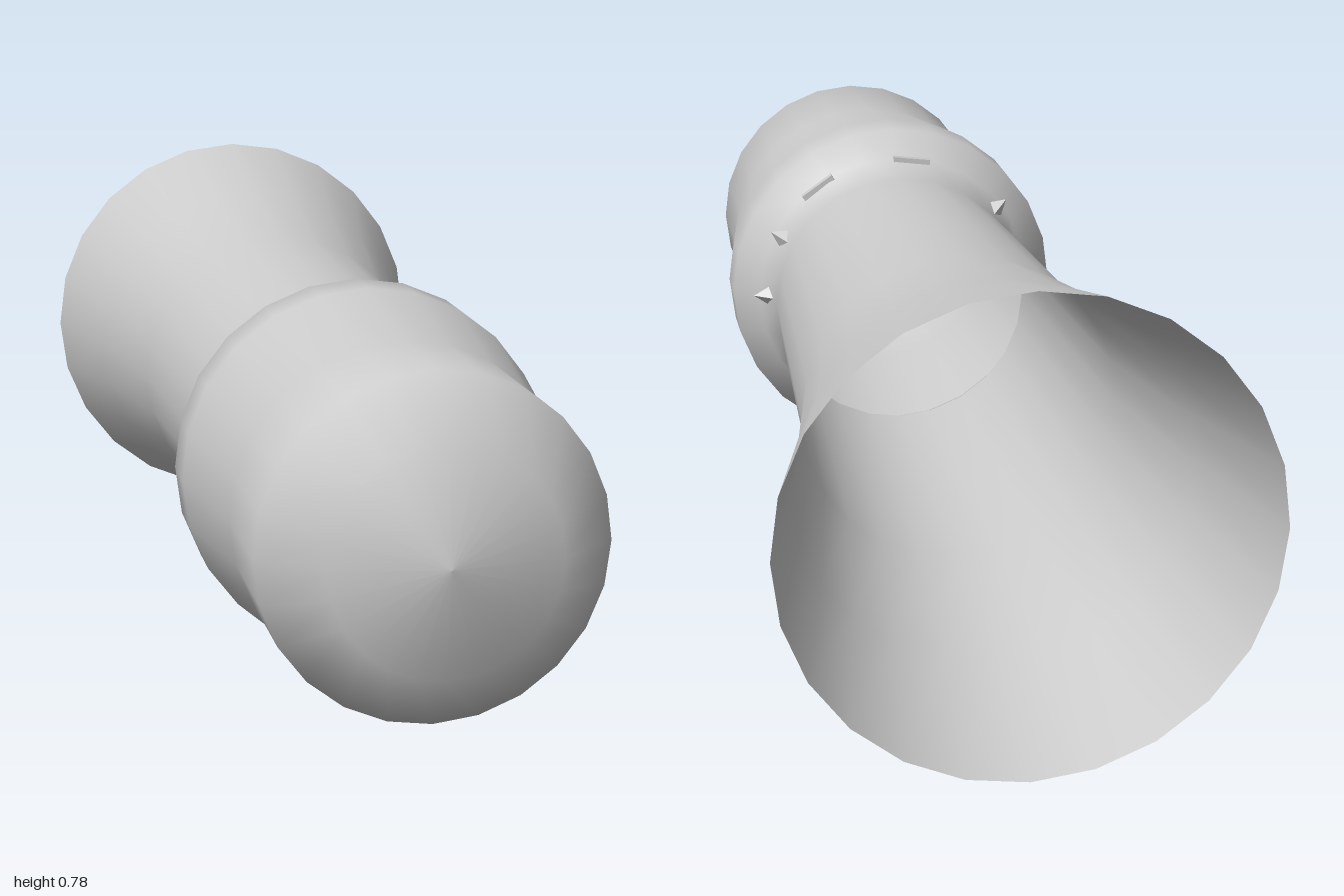
import * as THREE from 'three';

export function createModel() {
  const group = new THREE.Group();
  const material = new THREE.MeshStandardMaterial({ color: 0xcccccc, side: THREE.DoubleSide });
  const axisY = 0.388;

  // Hollow horn: open bell at the back, narrow neck, swollen collar, domed cap at the front
  const profile = [
    [0.388, -1], [0.322, -0.72], [0.27, -0.41], [0.24, 0.22], [0.265, 0.285],
    [0.313, 0.32], [0.313, 0.41], [0.276, 0.67], [0.276, 0.89], [0.18, 0.97], [0, 1],
  ].map(([r, z]) => new THREE.Vector2(r, z));
  const horn = new THREE.Mesh(new THREE.LatheGeometry(profile, 24), material);
  horn.name = 'horn';
  horn.rotation.x = Math.PI / 2;
  horn.position.y = axisY;
  group.add(horn);

  // Places a small part on the collar, its local y pointing outward
  function addToCollar(name, geometry, degrees, radius, z) {
    const a = THREE.MathUtils.degToRad(degrees);
    const mesh = new THREE.Mesh(geometry, material);
    mesh.name = name;
    mesh.position.set(Math.cos(a) * radius, axisY + Math.sin(a) * radius, z);
    mesh.rotation.z = a - Math.PI / 2;
    group.add(mesh);
  }

  // Thin tabs on the upper collar
  const tab = new THREE.BoxGeometry(0.07, 0.02, 0.015);
  for (const angle of [97, 55]) addToCollar('collarTab', tab, angle, 0.257, 0.279);

  // Small pointed studs on the sides of the collar
  const stud = new THREE.ConeGeometry(0.025, 0.04, 4).toNonIndexed();
  stud.computeVertexNormals();
  for (const angle of [29, 2, 140]) addToCollar('collarStud', stud, angle, 0.26, 0.258);

  return group;
}
